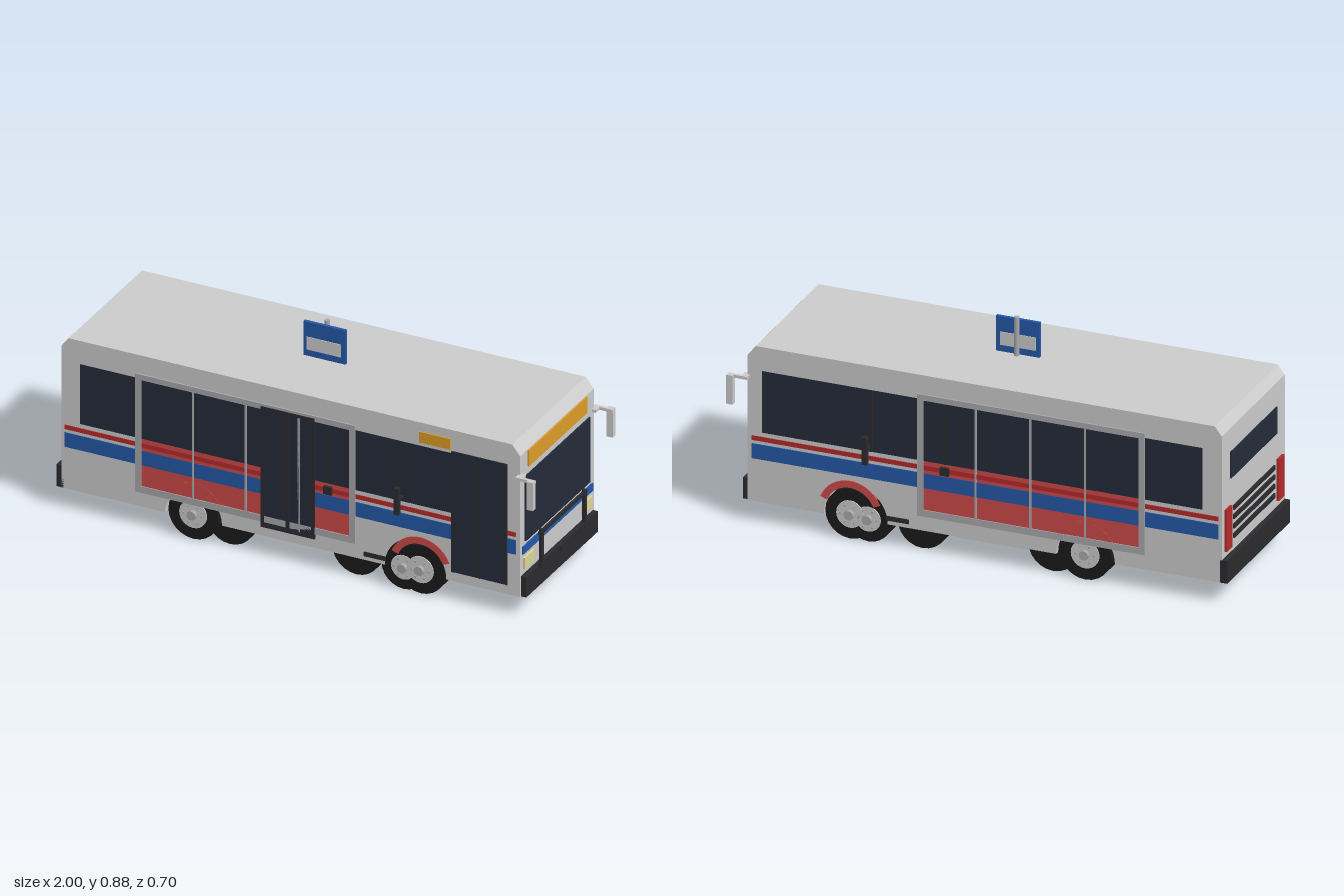
import * as THREE from 'three';

const GREY = 0xcccccc, DARK = 0x2b2b2f, GLASS = 0x252b3a, BLUE = 0x2458a8,
  RED = 0xb52a2c, PANEL = 0xcc4a48, ORANGE = 0xdd9d28, CREAM = 0xddd49a, FRAME = 0xa9a9ad, TYRE = 0x1a1a1a;
const mats = {};
const mat = (color) => (mats[color] ??= new THREE.MeshStandardMaterial({ color }));

export function createModel() {
  const bus = new THREE.Group();
  bus.name = 'bus';

  const add = (name, geo, color, x = 0, y = 0, z = 0) => {
    const m = new THREE.Mesh(geo, mat(color));
    m.name = name;
    m.position.set(x, y, z);
    bus.add(m);
    return m;
  };
  // box given by its limits
  const box = (name, color, x0, x1, y0, y1, z0, z1) =>
    add(name, new THREE.BoxGeometry(x1 - x0, y1 - y0, z1 - z0), color, (x0 + x1) / 2, (y0 + y1) / 2, (z0 + z1) / 2);
  // the same box on both sides, z0 < z1 measured outward
  const pair = (name, color, x0, x1, y0, y1, z0, z1) => {
    box(name, color, x0, x1, y0, y1, z0, z1);
    box(name, color, x0, x1, y0, y1, -z1, -z0);
  };
  const extrude = (shape, depth) =>
    new THREE.ExtrudeGeometry(shape, { depth, bevelEnabled: false, curveSegments: 20 });

  // Body: side walls with wheel arches, and a core with raised wheel bays
  const roofLine = (s) => {
    s.lineTo(0.928, 0.085);
    s.lineTo(0.928, 0.675);
    s.lineTo(0.895, 0.717);
    s.lineTo(-0.95, 0.717);
    s.lineTo(-0.978, 0.68);
    s.lineTo(-0.978, 0.085);
  };
  const side = new THREE.Shape();
  side.moveTo(-0.978, 0.085);
  side.lineTo(-0.548, 0.085);
  side.absellipse(-0.43, 0.085, 0.118, 0.13, Math.PI, 0, true);
  side.lineTo(0.365, 0.085);
  side.absellipse(0.493, 0.085, 0.128, 0.135, Math.PI, 0, true);
  roofLine(side);
  for (const z of [-0.3, 0.28]) add('sideWall', extrude(side, 0.02), GREY, 0, 0, z);

  const core = new THREE.Shape();
  core.moveTo(-0.978, 0.085);
  for (const [a, b] of [[-0.55, -0.17], [0.12, 0.62]]) {
    core.lineTo(a, 0.085);
    core.lineTo(a, 0.23);
    core.lineTo(b, 0.23);
    core.lineTo(b, 0.085);
  }
  roofLine(core);
  add('bodyCore', extrude(core, 0.56), GREY, 0, 0, -0.28);
  box('underfloorTray', GREY, -0.17, 0.12, 0.045, 0.085, -0.225, 0.225);
  box('underfloorBeam', DARK, -0.26, 0.21, 0.07, 0.084, -0.15, 0.15);

  // Side windows, coloured panel and stripes
  box('leftWindows', GLASS, -0.9, 0.87, 0.37, 0.62, -0.302, -0.295);
  box('rightWindows', GLASS, -0.9, 0.65, 0.37, 0.62, 0.295, 0.302);
  pair('redPanel', PANEL, -0.645, 0.22, 0.172, 0.37, 0.295, 0.302);
  pair('blueStripe', BLUE, -0.965, 0.91, 0.26, 0.32, 0.295, 0.3035);
  pair('redStripe', RED, -0.965, 0.91, 0.334, 0.352, 0.295, 0.3035);
  for (const x of [0.135, 0.43]) pair('windowPillar', DARK, x - 0.006, x + 0.006, 0.37, 0.62, 0.3, 0.304);

  // Frame around the middle section
  pair('frameTop', FRAME, -0.67, 0.245, 0.617, 0.64, 0.3, 0.306);
  pair('frameBottom', FRAME, -0.67, 0.245, 0.145, 0.172, 0.3, 0.306);
  for (const x of [-0.6575, 0.2325]) pair('framePost', FRAME, x - 0.0125, x + 0.0125, 0.172, 0.617, 0.3, 0.306);
  for (const x of [-0.43, -0.21, 0.01]) pair('frameDivider', FRAME, x - 0.004, x + 0.004, 0.172, 0.617, 0.3, 0.306);

  // Doors on the kerb side
  box('middleDoor', GLASS, -0.147, 0.077, 0.125, 0.63, 0.3, 0.306);
  for (const x of [-0.14, -0.035, 0.07]) box('middleDoorPost', DARK, x - 0.007, x + 0.007, 0.125, 0.63, 0.3, 0.309);
  box('middleDoorGap', FRAME, 0.01, 0.017, 0.14, 0.62, 0.3, 0.308);
  for (const y of [0.125, 0.618]) box('middleDoorRail', DARK, -0.147, 0.077, y, y + 0.012, 0.3, 0.309);
  box('frontDoor', GLASS, 0.645, 0.875, 0.125, 0.63, 0.3, 0.305);
  for (const x of [0.648, 0.76, 0.872]) box('frontDoorPost', DARK, x - 0.004, x + 0.004, 0.125, 0.63, 0.3, 0.307);
  box('sideDestinationSign', ORANGE, 0.51, 0.64, 0.635, 0.68, 0.3, 0.305);

  // Small side fittings
  pair('sideHandle', DARK, 0.115, 0.15, 0.328, 0.36, 0.3, 0.314);
  pair('sideMarker', DARK, 0.428, 0.448, 0.335, 0.445, 0.333, 0.352);
  pair('sideMarkerArm', DARK, 0.432, 0.444, 0.385, 0.396, 0.3, 0.335);
  pair('sideStep', DARK, 0.28, 0.37, 0.102, 0.12, 0.297, 0.304);

  // Wheels: outer ones show their hubs, inner ones sit behind the wall
  const wheel = (x, r, z, s, outer) => {
    const g = new THREE.Group();
    g.name = 'wheel';
    const disc = (name, radius, depth, off, color, n = 24) => {
      const m = new THREE.Mesh(new THREE.CylinderGeometry(radius, radius, depth, n), mat(color));
      m.name = name;
      m.rotation.x = Math.PI / 2;
      m.position.z = s * off;
      g.add(m);
    };
    disc('tyre', r, 0.112, 0, TYRE);
    if (outer) {
      disc('rim', r * 0.55, 0.012, 0.054, GREY);
      disc('hub', 0.019, 0.024, 0.064, FRAME, 12);
      for (let i = 0; i < 6; i++) {
        const nut = new THREE.Mesh(new THREE.BoxGeometry(0.007, 0.007, 0.006), mat(FRAME));
        nut.name = 'wheelNut';
        nut.position.set(0.037 * Math.cos(i * Math.PI / 3), 0.037 * Math.sin(i * Math.PI / 3), s * 0.062);
        g.add(nut);
      }
    }
    g.position.set(x, r + 0.002, s * z);
    bus.add(g);
  };
  for (const s of [-1, 1]) {
    wheel(0.515, 0.1, 0.245, s, true);
    wheel(0.443, 0.092, 0.243, s, true);
    wheel(-0.43, 0.104, 0.245, s, true);
    wheel(0.235, 0.1, 0.22, s, false);
    wheel(-0.29, 0.1, 0.22, s, false);
  }
  for (const x of [0.515, 0.235, -0.29, -0.43])
    add('axle', new THREE.CylinderGeometry(0.022, 0.022, 0.4, 12), DARK, x, 0.1, 0).rotation.x = Math.PI / 2;

  // Red fender arches
  const fender = new THREE.Shape();
  fender.absarc(0, 0, 0.128, 0.12 * Math.PI, 0.88 * Math.PI, false);
  fender.absarc(0, 0, 0.1, 0.88 * Math.PI, 0.12 * Math.PI, true);
  for (const x of [0.515, -0.43])
    for (const z of [-0.303, 0.283]) add('fender', extrude(fender, 0.02), PANEL, x, 0.108, z);

  // Front face
  box('windscreen', GLASS, 0.92, 0.934, 0.303, 0.575, -0.263, 0.263);
  box('destinationSign', ORANGE, 0.92, 0.934, 0.605, 0.672, -0.238, 0.238);
  box('frontStripe', BLUE, 0.92, 0.934, 0.257, 0.288, -0.285, 0.285);
  pair('headlight', CREAM, 0.92, 0.937, 0.193, 0.24, 0.2, 0.278);
  box('frontBumper', DARK, 0.92, 0.95, 0.085, 0.17, -0.293, 0.293);

  // Folding rack on the bumper
  pair('rackPost', DARK, 0.946, 0.96, 0.163, 0.318, 0.168, 0.183);
  for (const y of [0.17, 0.299]) box('rackBar', DARK, 0.946, 0.958, y, y + 0.012, -0.19, 0.19);
  box('rackLatch', DARK, 0.945, 0.958, 0.15, 0.171, -0.018, 0.018);

  // Mirrors
  pair('mirrorBracket', GREY, 0.92, 0.945, 0.585, 0.597, 0.284, 0.325);
  pair('mirrorArm', GREY, 0.935, 1.0, 0.585, 0.597, 0.312, 0.325);
  pair('mirror', GREY, 0.973, 1.0, 0.48, 0.597, 0.314, 0.337);

  // Rear face
  box('rearWindow', GLASS, -0.983, -0.97, 0.477, 0.585, -0.22, 0.22);
  pair('tailLight', RED, -0.988, -0.97, 0.2, 0.37, 0.222, 0.272);
  for (let i = 0; i < 4; i++) box('grilleSlat', DARK, -0.985, -0.97, 0.225 + i * 0.038, 0.243 + i * 0.038, -0.195, 0.195);
  box('rearBumper', DARK, -1.0, -0.97, 0.085, 0.176, -0.3, 0.3);

  // Stop sign on its pole
  add('signPole', new THREE.CylinderGeometry(0.01, 0.01, 0.873, 12), FRAME, -0.027, 0.4385, 0);
  add('poleBase', new THREE.CylinderGeometry(0.025, 0.025, 0.012, 16), FRAME, -0.027, 0.006, 0);
  box('signBoard', BLUE, -0.115, 0.06, 0.718, 0.86, 0.009, 0.022);
  box('signPlate', GREY, -0.1, 0.042, 0.745, 0.798, 0.006, 0.025);

  return bus;
}
